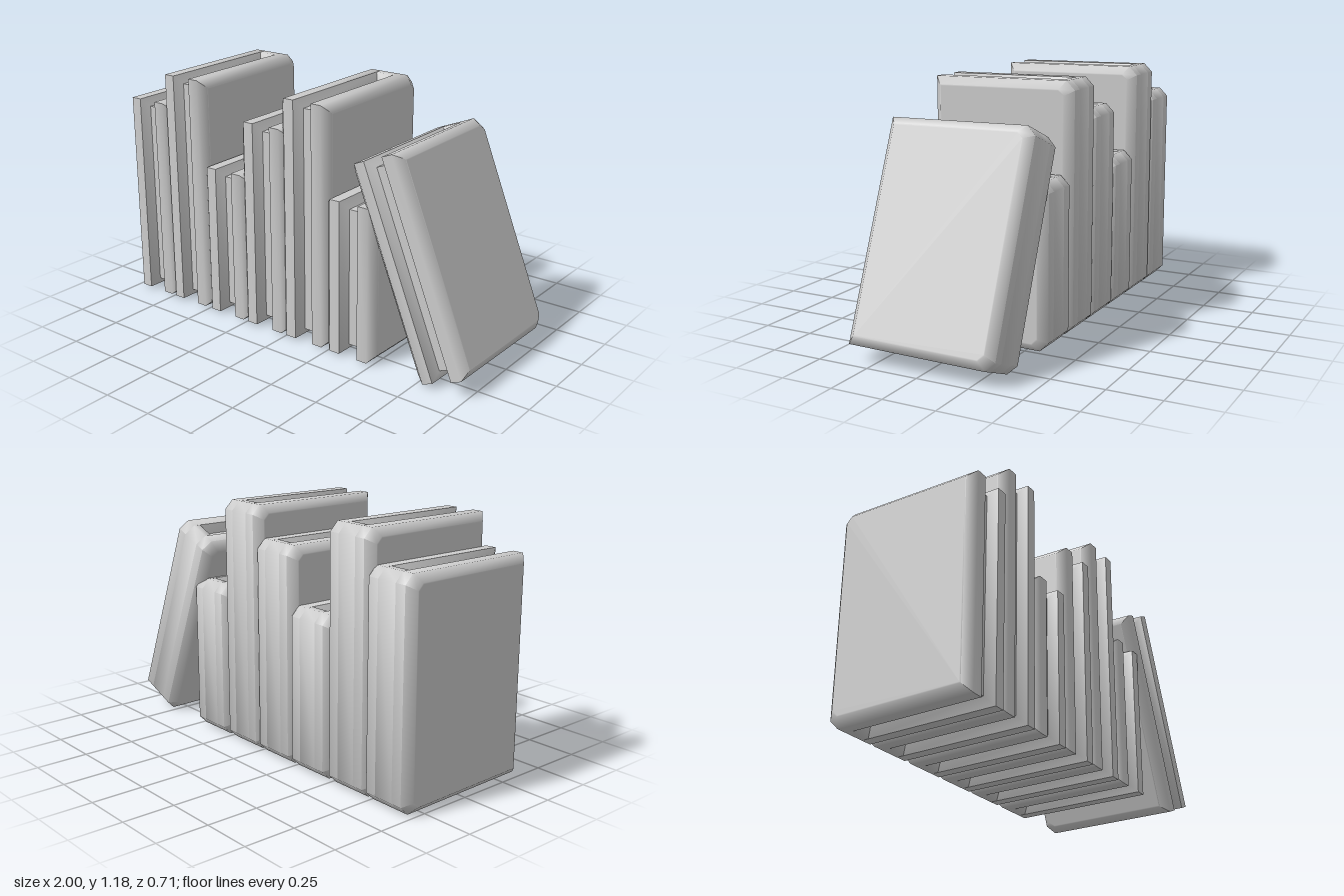
import * as THREE from 'three';
import { toCreasedNormals } from 'three/addons/utils/BufferGeometryUtils.js';

const HALF = 0.14;    // half thickness of a book
const BEVEL = 0.036;  // cover edge bevel
const GROOVE = 0.05;  // half width of the page groove at its rim
const PAGES = 0.024;  // half width of the visible page strip
const DEPTH = 0.042;  // how far the pages sit below the cover edges
const ZF = 0.357, ZB = -0.357;

// Skins a stack of [x, loop] sections; loops hold [z, y] points, counter-clockwise from +x
function skin(sections) {
  const pos = [], index = [], n = sections[0][1].length;
  sections.forEach(([x, loop]) => loop.forEach(([z, y]) => pos.push(x, y, z)));
  for (let i = 0; i < sections.length - 1; i++) {
    for (let j = 0; j < n; j++) {
      const a = i * n + j, b = i * n + (j + 1) % n;
      index.push(a, b, b + n, a, b + n, a + n);
    }
  }
  const last = (sections.length - 1) * n;
  for (let j = 1; j < n - 1; j++) {
    index.push(0, j + 1, j, last, last + j, last + j + 1);
  }
  const g = new THREE.BufferGeometry();
  g.setAttribute('position', new THREE.Float32BufferAttribute(pos, 3));
  g.setIndex(index);
  return toCreasedNormals(g, 0.95);
}

// Side outline of a book: square at the page edge, bevelled at the spine, slightly taller there
function outline(h, inset, backInset = inset) {
  const f = ZF - inset, b = ZB + backInset, lo = 0.008 + inset, hi = h - 0.008 - inset;
  const k = 0.042 - backInset * 0.4;
  return [
    [f, lo], [b + k, inset], [b, inset + k],
    [b, h - inset - k], [b + k, h - inset], [f, hi],
  ];
}

function createBook(name, h, material) {
  const book = new THREE.Group();
  book.name = name;

  // Covers and the recessed page block, as one symmetric stack
  const half = [
    [HALF, outline(h, BEVEL + 0.006)],
    [HALF, outline(h, BEVEL)],
    [HALF - BEVEL, outline(h, 0)],
    [GROOVE, outline(h, 0)],
    [PAGES, outline(h, DEPTH, 0.02)],
  ];
  const sections = [
    ...half.map(([x, loop]) => [-x, loop]),
    ...half.slice().reverse(),
  ];
  const covers = new THREE.Mesh(skin(sections), material);
  covers.name = 'coversAndPages';

  // Spine closing the groove at the back, with sloping inner ends
  const k = 0.042;
  const loop = [
    [-0.25, DEPTH], [-0.28, 0.001], [ZB + k, 0], [ZB, k],
    [ZB, h - k], [ZB + k, h], [-0.28, h - 0.001], [-0.25, h - DEPTH],
  ];
  const spine = new THREE.Mesh(skin([[-GROOVE, loop], [GROOVE, loop]]), material);
  spine.name = 'spine';

  book.add(covers, spine);
  return book;
}

export function createModel() {
  const model = new THREE.Group();
  model.name = 'bookRow';
  const gray = new THREE.MeshStandardMaterial({ color: 0xcccccc });
  gray.name = 'lightGray';

  // Six upright books in two repeats of medium, tall, short
  const heights = [1.03, 1.18, 0.762];
  const centres = [-0.86, -0.622, -0.367, -0.125, 0.117, 0.375];
  centres.forEach((x, i) => {
    const book = createBook('uprightBook' + (i + 1), heights[i % 3], gray);
    book.position.set(x, 0.004, 0);
    model.add(book);
  });

  // Last book leaning against the row
  const h = 1.03, tilt = THREE.MathUtils.degToRad(22);
  const leaning = createBook('leaningBook', h, gray);
  leaning.rotation.z = tilt;
  leaning.position.set(0.69 + Math.sin(tilt) * h / 2, 0.518 - Math.cos(tilt) * h / 2, 0);
  model.add(leaning);

  return model;
}
